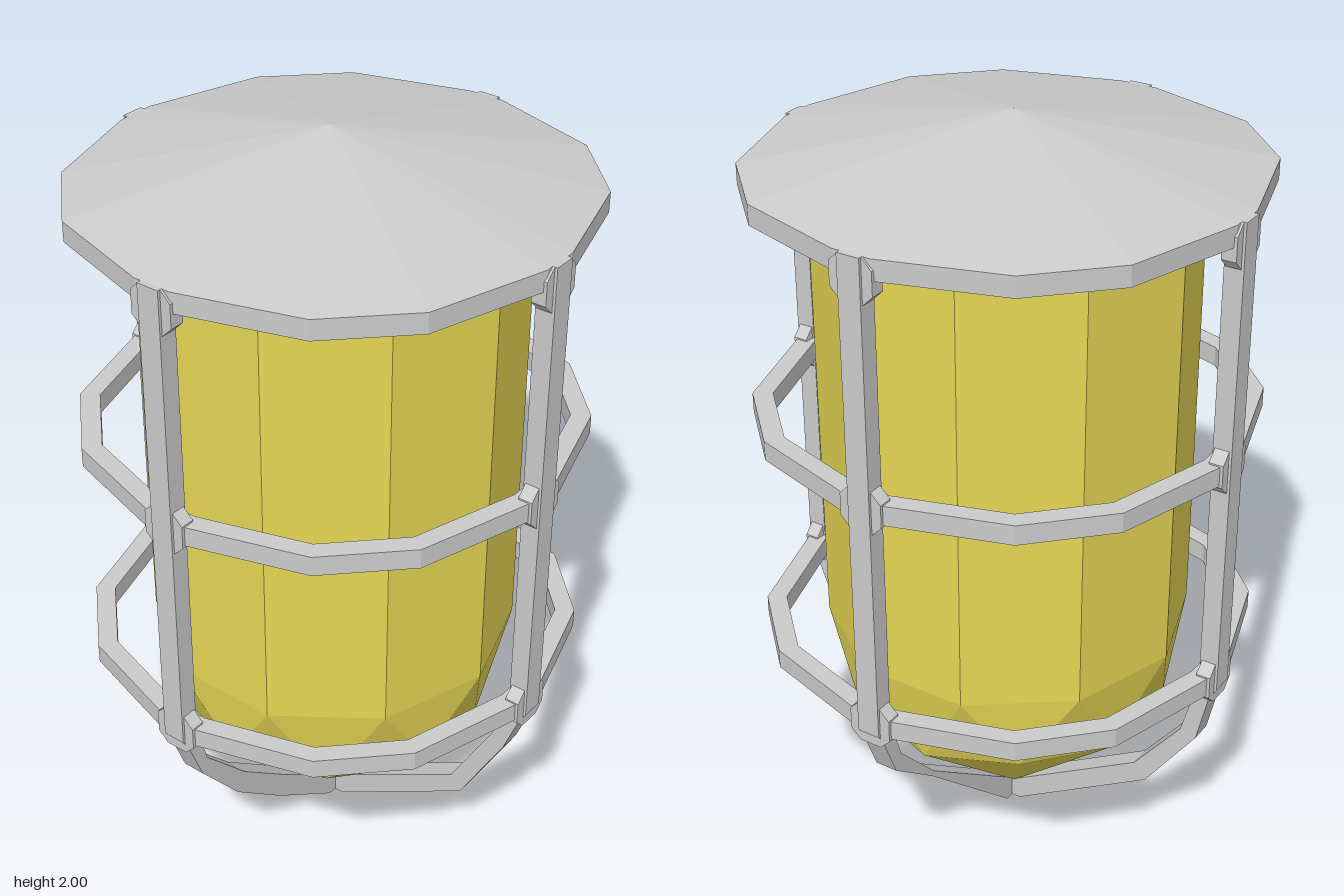
import * as THREE from 'three';

const metal = new THREE.MeshStandardMaterial({ color: 0xcccccc, flatShading: true });
const glass = new THREE.MeshStandardMaterial({ color: 0xe6d755, flatShading: true });

function add(parent, name, geometry, material) {
  const mesh = new THREE.Mesh(geometry, material);
  mesh.name = name;
  parent.add(mesh);
  return mesh;
}

// Twelve-cornered outline shared by the lid and the hoops, with a short flat on each axis
function outline(scale) {
  const points = [];
  for (let q = 0; q < 4; q++) {
    for (const [x, y] of [[0.622, -0.05], [0.622, 0.05], [0.53, 0.354]]) {
      points.push(new THREE.Vector2(x * scale, y * scale).rotateAround(new THREE.Vector2(), q * Math.PI / 2));
    }
    points.push(new THREE.Vector2(0.354 * scale, 0.53 * scale).rotateAround(new THREE.Vector2(), q * Math.PI / 2));
  }
  return points;
}

function trianglesGeometry(triangles) {
  const geometry = new THREE.BufferGeometry().setFromPoints(triangles);
  geometry.computeVertexNormals();
  return geometry;
}

// Shallow pointed lid, closed underneath
function lidGeometry() {
  const rim = outline(1).map(p => new THREE.Vector3(p.x, 1.865, -p.y));
  const apex = new THREE.Vector3(0.01, 2, -0.02);
  const base = new THREE.Vector3(0, 1.865, 0);
  const triangles = [];
  rim.forEach((a, i) => {
    const b = rim[(i + 1) % rim.length];
    triangles.push(apex, a, b, base, b, a);
  });
  return trianglesGeometry(triangles);
}

function hoopGeometry() {
  const shape = new THREE.Shape(outline(1));
  shape.holes.push(new THREE.Path(outline(0.92)));
  return new THREE.ExtrudeGeometry(shape, { depth: 0.052, bevelEnabled: false })
    .rotateX(-Math.PI / 2).translate(0, -0.026, 0);
}

// Faceted rounded end of the bulb: half of a once-divided icosahedron
function domeGeometry(radius, centreY) {
  const at = (polar, azimuth) => {
    const p = THREE.MathUtils.degToRad(polar), a = THREE.MathUtils.degToRad(azimuth);
    return new THREE.Vector3(Math.sin(p) * Math.cos(a), -Math.cos(p), Math.sin(p) * Math.sin(a))
      .multiplyScalar(radius).add(new THREE.Vector3(0, centreY, 0));
  };
  const triangles = [];
  for (let i = 0; i < 5; i++) {
    const t = 180 + 72 * i;
    const pole = at(0, 0), a0 = at(31.72, t), a1 = at(31.72, t + 72);
    const b0 = at(63.43, t), b1 = at(63.43, t + 72), c = at(58.28, t + 36);
    const e0 = at(90, t - 18), e1 = at(90, t + 18), e2 = at(90, t + 54);
    triangles.push(
      pole, a0, a1, a0, b0, c, a0, c, a1, a1, c, b1,
      b0, e0, e1, b0, e1, c, c, e1, e2, c, e2, b1);
  }
  return trianglesGeometry(triangles);
}

// Side profile extruded to a bar that lies across the x axis
function barGeometry(profile, width) {
  const shape = new THREE.Shape(profile.map(([x, y]) => new THREE.Vector2(x, y)));
  return new THREE.ExtrudeGeometry(shape, { depth: width, bevelEnabled: false })
    .translate(0, 0, -width / 2);
}

// Eight-sided plate that reinforces a crossing of bar and hoop
function jointGeometry() {
  const s = 0.03, l = 0.057;
  const shape = new THREE.Shape([[l, -s], [l, s], [s, l], [-s, l], [-l, s], [-l, -s], [-s, -l], [s, -l]]
    .map(([x, y]) => new THREE.Vector2(x, y)));
  return new THREE.ExtrudeGeometry(shape, { depth: 0.038, bevelEnabled: false })
    .rotateY(Math.PI / 2).translate(0.59, 0, 0);
}

// Curved lower arms, each from the lowest hoop to the tip
const top = [[0.588, 0.62], [0.635, 0.62], [0.635, 0.6], [0.615, 0.565]];
const tip = [[0.055, 0], [0, 0], [0, 0.035]];
const arms = [
  { name: 'left', angle: 0, outer: [[0.568, 0.45], [0.415, 0.328]], inner: [[0.405, 0.338], [0.545, 0.49]] },
  { name: 'back', angle: Math.PI / 2, outer: [[0.585, 0.43], [0.445, 0.232]], inner: [[0.41, 0.275], [0.54, 0.44]] },
  { name: 'right', angle: Math.PI, outer: [[0.57, 0.45], [0.44, 0.29], [0.27, 0.15]],
    inner: [[0.24, 0.205], [0.41, 0.34], [0.55, 0.49]] },
  { name: 'front', angle: -Math.PI / 2, outer: [[0.575, 0.46], [0.45, 0.235]], inner: [[0.418, 0.275], [0.54, 0.49]] },
];

export function createModel() {
  const model = new THREE.Group();
  model.name = 'cagedLamp';

  // Bulb
  const bulb = new THREE.Group();
  bulb.name = 'bulb';
  model.add(bulb);
  add(bulb, 'bulbBody', new THREE.CylinderGeometry(0.475, 0.475, 1.24, 10, 1, true), glass).position.y = 1.245;
  add(bulb, 'bulbDome', domeGeometry(0.475, 0.625), glass);

  // Lid
  add(model, 'lid', lidGeometry(), metal);

  // Cage
  const cage = new THREE.Group();
  cage.name = 'cage';
  model.add(cage);
  const hoopHeights = [0.62, 1.23, 1.838];
  for (const y of hoopHeights) add(cage, 'hoop', hoopGeometry(), metal).position.y = y;

  for (const { name, angle, outer, inner } of arms) {
    const side = new THREE.Group();
    side.name = name + 'CageSide';
    side.rotation.y = angle;
    cage.add(side);
    add(side, 'upright', new THREE.BoxGeometry(0.05, 1.245, 0.06), metal).position.set(0.61, 1.2425, 0);
    add(side, 'lowerArm', barGeometry([...top, ...outer, ...tip, ...inner], 0.06), metal);
    hoopHeights.forEach((y, i) => {
      const joint = add(side, 'joint', jointGeometry(), metal);
      joint.position.y = i === 2 ? y - 0.03 : y;
    });
  }
  return model;
}
